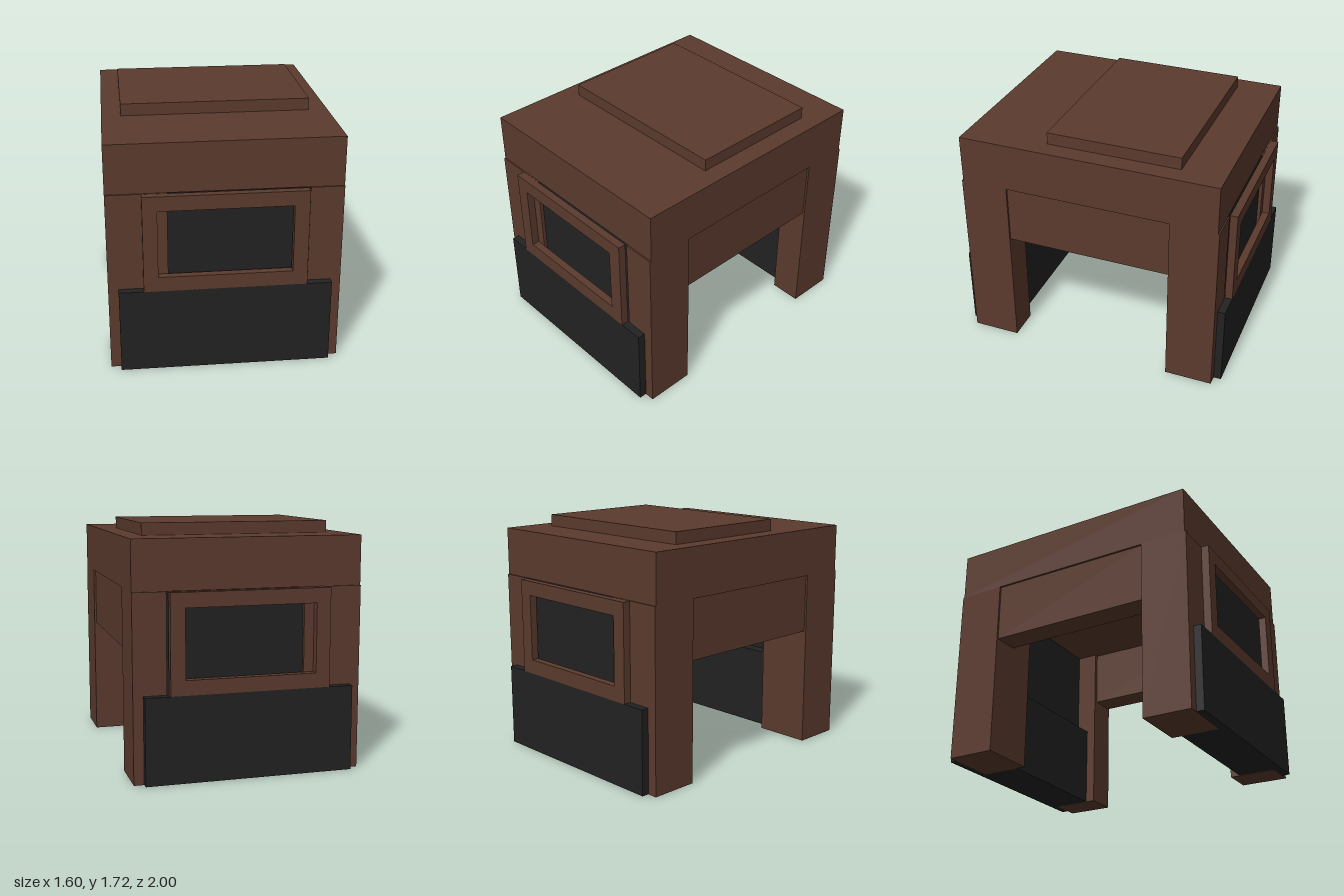
import * as THREE from 'three';

const brown = new THREE.MeshStandardMaterial({ color: 0x5b3a2d });
brown.name = 'brown';
const charcoal = new THREE.MeshStandardMaterial({ color: 0x222222 });
charcoal.name = 'charcoal';

// Box given by its lower and upper limits on each axis
function box(name, material, [x0, x1], [y0, y1], [z0, z1]) {
  const mesh = new THREE.Mesh(new THREE.BoxGeometry(x1 - x0, y1 - y0, z1 - z0), material);
  mesh.position.set((x0 + x1) / 2, (y0 + y1) / 2, (z0 + z1) / 2);
  mesh.name = name;
  return mesh;
}

// Rectangular surround with an opening, extruded along z
function windowFrame() {
  const shape = new THREE.Shape([[-0.56, 0.6], [0.557, 0.6], [0.557, 1.289], [-0.56, 1.289]]
    .map(([x, y]) => new THREE.Vector2(x, y)));
  shape.holes.push(new THREE.Path([[-0.46, 0.705], [-0.46, 1.185], [0.455, 1.185], [0.455, 0.705]]
    .map(([x, y]) => new THREE.Vector2(x, y))));
  const geometry = new THREE.ExtrudeGeometry(shape, { depth: 0.055, bevelEnabled: false });
  const mesh = new THREE.Mesh(geometry, brown);
  mesh.name = 'windowFrame';
  return mesh;
}

export function createModel() {
  const model = new THREE.Group();
  model.name = 'shelter';

  // Roof slab and raised hatch
  model.add(box('roof', brown, [-0.8, 0.8], [1.29, 1.635], [-0.935, 0.935]));
  model.add(box('roofHatch', brown, [-0.665, 0.665], [1.635, 1.72], [-0.63, 0.33]));

  // Slightly recessed beams over the side openings
  for (const s of [-1, 1]) {
    const x = s > 0 ? [0.6, 0.785] : [-0.785, -0.6];
    model.add(box('sideBeam', brown, x, [0.865, 1.29], [-0.6, 0.6]));
  }

  // End walls: legs (wider on the right), lower panel, window pane and frame
  for (const s of [-1, 1]) {
    const end = new THREE.Group();
    end.name = s > 0 ? 'frontWall' : 'backWall';
    const span = (a, b) => (s > 0 ? [a, b] : [-b, -a]);
    end.add(box('leftLeg', brown, [0.57, 0.8], [0, 1.29], span(0.6, 0.945)));
    end.add(box('rightLeg', brown, [-0.8, -0.39], [0, 1.29], span(0.6, 0.945)));
    end.add(box('lowerPanel', charcoal, [-0.73, 0.73], [0.002, 0.602], span(0.67, 1)));
    end.add(box('windowPane', charcoal, [-0.6, 0.6], [0.6, 1.289], span(0.76, 0.92)));
    const frame = windowFrame();
    frame.position.z = s > 0 ? 0.945 : -1;
    end.add(frame);
    model.add(end);
  }

  return model;
}
